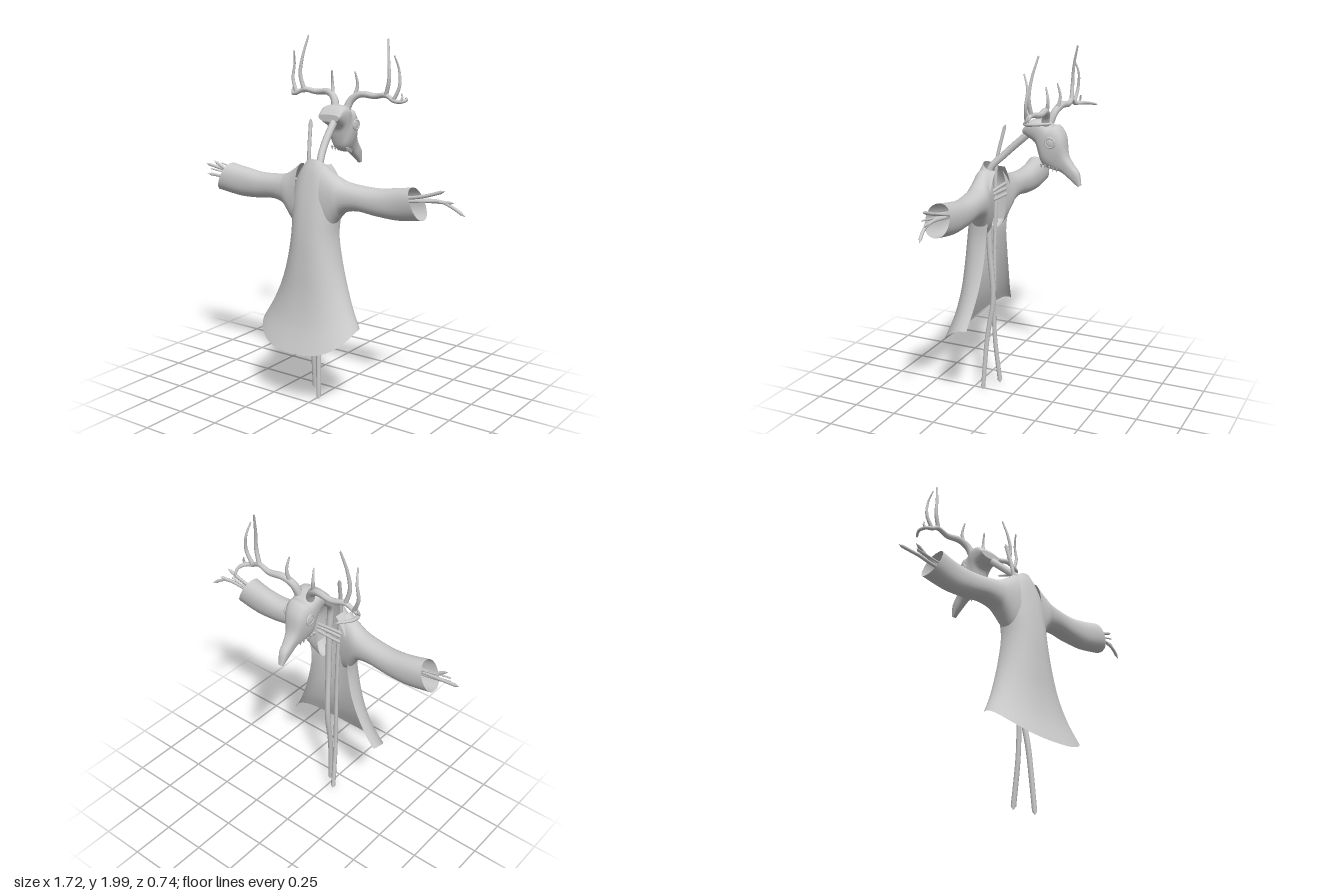
import * as THREE from 'three';

const cloth = new THREE.MeshStandardMaterial({ color: 0xcccccc, side: THREE.DoubleSide });
const solid = new THREE.MeshStandardMaterial({ color: 0xcccccc });
const V = (p) => new THREE.Vector3(...p);

// Smoothly resample rows of numbers (column-wise Catmull-Rom)
function smoothRows(keys, n) {
  const rows = [];
  for (let i = 0; i <= n; i++) {
    const t = (i / n) * (keys.length - 1);
    const k = Math.min(Math.floor(t), keys.length - 2), f = t - k;
    const at = (j) => keys[Math.max(0, Math.min(keys.length - 1, j))];
    rows.push(keys[0].map((_, c) => {
      const [a, b, d, e] = [at(k - 1)[c], at(k)[c], at(k + 1)[c], at(k + 2)[c]];
      return b + 0.5 * f * (d - a + f * (2 * a - 5 * b + 4 * d - e + f * (3 * (b - d) + e - a)));
    }));
  }
  return rows;
}

// Skin a list of equally sized rings
function loft(rings, closed, capped = false) {
  const m = rings[0].length, pos = rings.flat(2), idx = [];
  const steps = closed ? m : m - 1;
  for (let i = 0; i < rings.length - 1; i++) {
    for (let j = 0; j < steps; j++) {
      const a = i * m + j, b = i * m + (j + 1) % m;
      idx.push(a, b, a + m, b, b + m, a + m);
    }
  }
  if (capped) {
    [0, rings.length - 1].forEach((r) => {
      const start = pos.length / 3;
      rings[r].forEach((p) => pos.push(...p));
      for (let j = 1; j < m - 1; j++) {
        if (r === 0) idx.push(start, start + j + 1, start + j);
        else idx.push(start, start + j, start + j + 1);
      }
    });
  }
  const g = new THREE.BufferGeometry();
  g.setAttribute('position', new THREE.Float32BufferAttribute(pos, 3));
  g.setIndex(idx);
  g.computeVertexNormals();
  return g;
}

// Tapered tube through points, closed at both ends
function stick(points, r0, r1, seg = 40) {
  const curve = new THREE.CatmullRomCurve3(points.map(V));
  const g = new THREE.TubeGeometry(curve, seg, 1, 8);
  const p = g.attributes.position, v = new THREE.Vector3();
  for (let i = 0; i < p.count; i++) {
    const s = Math.floor(i / 9), c = curve.getPointAt(s / seg);
    const r = s === 0 || s === seg ? 0 : r0 + (r1 - r0) * s / seg;
    v.fromBufferAttribute(p, i).sub(c).multiplyScalar(r).add(c);
    p.setXYZ(i, v.x, v.y, v.z);
  }
  return g;
}

const spow = (v, e) => Math.sign(v) * Math.abs(v) ** e;

export function createModel() {
  const model = new THREE.Group();
  const add = (name, geo, mat = solid, parent = model) => {
    const mesh = new THREE.Mesh(geo, mat);
    mesh.name = name;
    parent.add(mesh);
    return mesh;
  };

  // Robe body, open on the -z side: [edge y, centre y, half width, edge z, closed side z]
  const robeKeys = [
    [0.48, 0.34, 0.305, 0.19, 0.375], [0.58, 0.48, 0.25, 0.175, 0.325],
    [0.70, 0.63, 0.20, 0.16, 0.295], [0.83, 0.80, 0.16, 0.15, 0.28],
    [0.97, 0.96, 0.135, 0.145, 0.268], [1.10, 1.10, 0.138, 0.13, 0.25],
    [1.22, 1.23, 0.135, 0.12, 0.225], [1.30, 1.32, 0.098, 0.12, 0.203],
    [1.345, 1.378, 0.06, 0.12, 0.18],
  ];
  const robe = smoothRows(robeKeys, 48).map(([ye, yc, w, ze, zb]) => {
    const ring = [];
    for (let j = 0; j <= 40; j++) {
      const a = -0.3 + (j / 40) * (Math.PI + 0.6), s = Math.sin(a);
      const depth = s > 0 ? zb - ze : 0.1;
      ring.push([-0.02 + w * spow(Math.cos(a), 0.8), ye + (yc - ye) * Math.max(s, 0) ** 1.3, ze + depth * spow(s, 0.9)]);
    }
    return ring;
  });
  add('robe', loft(robe, false), cloth);

  // Sleeves: [distance, top, bottom, zMin, zMax, slant]
  const sleeveKeys = [
    [0.08, 1.345, 0.98, 0.09, 0.225, 0], [0.12, 1.315, 1.01, 0.082, 0.222, 0],
    [0.16, 1.29, 1.065, 0.074, 0.218, 0], [0.20, 1.272, 1.105, 0.07, 0.21, 0],
    [0.28, 1.26, 1.122, 0.067, 0.2, 0], [0.39, 1.256, 1.11, 0.065, 0.192, 0],
    [0.51, 1.27, 1.105, 0.065, 0.19, 0.015], [0.635, 1.287, 1.125, 0.067, 0.205, 0.036],
  ];
  for (const side of [-1, 1]) {
    const rings = smoothRows(sleeveKeys, 36).map(([d, top, bot, z0, z1, slant]) =>
      Array.from({ length: 28 }, (_, j) => {
        const a = (j / 28) * Math.PI * 2, s = spow(Math.sin(a), 0.9), c = spow(Math.cos(a), 0.9);
        return [-0.028 + side * (d - slant * s), (top + bot) / 2 + s * (top - bot) / 2, (z0 + z1) / 2 + c * (z1 - z0) / 2];
      }));
    add(side > 0 ? 'leftSleeve' : 'rightSleeve', loft(rings, true), cloth);
  }

  // Two upright poles; one bends into the neck
  add('neckPole', stick([[0.02, 0.015, 0.185], [0.005, 0.35, 0.16], [0, 0.58, 0.125], [0.01, 0.9, 0.14],
    [0.01, 1.2, 0.145], [0, 1.34, 0.14], [-0.03, 1.43, 0.06], [-0.055, 1.56, -0.08]], 0.013, 0.021, 80));
  add('rearPole', stick([[-0.06, 0.04, 0.11], [-0.05, 0.35, 0.14], [-0.05, 0.7, 0.14], [-0.06, 1.1, 0.135],
    [-0.075, 1.36, 0.135], [-0.095, 1.58, 0.09]], 0.014, 0.01, 80));

  // Arm branches running through both sleeves
  const branches = [
    [[-0.86, 1.255, 0.1], [-0.7, 1.235, 0.11], [-0.3, 1.2, 0.12], [0.1, 1.21, 0.105], [0.5, 1.21, 0.11], [0.72, 1.23, 0.11], [0.79, 1.21, 0.11], [0.86, 1.165, 0.095]],
    [[-0.77, 1.285, 0.13], [-0.65, 1.23, 0.12], [-0.2, 1.18, 0.1], [0.2, 1.19, 0.11], [0.6, 1.24, 0.13], [0.76, 1.29, 0.13]],
    [[-0.8, 1.21, 0.155], [-0.6, 1.2, 0.13], [-0.1, 1.24, 0.1], [0.3, 1.2, 0.12], [0.65, 1.225, 0.12], [0.8, 1.23, 0.105]],
  ];
  branches.forEach((b, i) => add('armBranch' + (i + 1), stick(b, 0.009, 0.009, 60)));
  for (const side of [-1, 1]) {
    add('fingerTwig', stick([[side * 0.45, 1.2, 0.13], [side * 0.6, 1.22, 0.14], [side * 0.76 - 0.02, 1.24, 0.15]], 0.009, 0.004));
    add('fingerTwig', stick([[side * 0.45, 1.2, 0.1], [side * 0.6, 1.24, 0.1], [side * 0.72 - 0.02, 1.27, 0.1]], 0.009, 0.004));
  }

  // Skull, snout towards -z: [top z, top y, bottom z, bottom y, half width]
  const head = new THREE.Group();
  head.name = 'head';
  head.position.x = -0.078;
  model.add(head);
  const skullKeys = [
    [-0.05, 1.585, -0.05, 1.545, 0.075], [-0.095, 1.628, -0.065, 1.53, 0.083],
    [-0.155, 1.63, -0.11, 1.5, 0.085], [-0.195, 1.602, -0.125, 1.45, 0.078],
    [-0.235, 1.6, -0.142, 1.395, 0.078], [-0.272, 1.545, -0.17, 1.37, 0.068],
    [-0.288, 1.45, -0.21, 1.358, 0.045], [-0.32, 1.395, -0.25, 1.35, 0.033],
    [-0.354, 1.352, -0.3, 1.315, 0.027], [-0.366, 1.285, -0.35, 1.275, 0.014],
  ];
  const skull = smoothRows(skullKeys, 36).map(([tz, ty, bz, by, w]) =>
    Array.from({ length: 24 }, (_, j) => {
      const a = (j / 24) * Math.PI * 2, s = (1 + spow(Math.sin(a), 0.75)) / 2;
      return [w * spow(Math.cos(a), 0.7) * (0.8 + 0.2 * s), by + (ty - by) * s, bz + (tz - bz) * s];
    }));
  add('skull', loft(skull, true, true), cloth, head);

  for (const side of [-1, 1]) {
    // Eye socket rim and sunken disc
    const rim = add('eyeRim', new THREE.TorusGeometry(0.026, 0.006, 8, 24), solid, head);
    rim.position.set(side * 0.073, 1.517, -0.212);
    rim.rotation.y = side * Math.PI / 2;
    const eye = add('eyeSocket', new THREE.SphereGeometry(0.024, 16, 10), solid, head);
    eye.position.copy(rim.position);
    eye.scale.x = 0.25;

    // Teeth along the jaw
    for (let i = 0; i < 5; i++) {
      const tooth = add('tooth', new THREE.ConeGeometry(0.008, 0.025, 6), solid, head);
      tooth.position.set(side * (0.05 - i * 0.006), 1.383 - i * 0.006, -0.155 - i * 0.02);
      tooth.rotation.x = Math.PI;
    }

    // Antler: main beam curling forward, with upright tines
    const tine = (name, pts, r0, r1) =>
      add(name, stick(pts.map(([x, y, z]) => [side * x, y, z]), r0, r1), solid, head);
    tine('antlerBeam', [[0.03, 1.58, -0.16], [0.06, 1.66, -0.185], [0.11, 1.69, -0.2], [0.2, 1.685, -0.207],
      [0.28, 1.695, -0.195], [0.33, 1.67, -0.19], [0.362, 1.665, -0.2], [0.37, 1.668, -0.25], [0.325, 1.672, -0.33]], 0.024, 0.006);
    tine('browTine', [[0.072, 1.665, -0.19], [0.085, 1.74, -0.205], [0.078, 1.815, -0.19]], 0.013, 0.004);
    tine('tallTine', [[0.275, 1.685, -0.195], [0.3, 1.78, -0.19], [0.29, 1.88, -0.2], [0.268, 2.0, -0.23]], 0.013, 0.005);
    tine('outerTine', [[0.325, 1.665, -0.19], [0.36, 1.75, -0.2], [0.352, 1.84, -0.205], [0.337, 1.915, -0.18]], 0.012, 0.004);
    tine('smallTine', [[0.36, 1.66, -0.2], [0.372, 1.685, -0.21], [0.365, 1.71, -0.215]], 0.009, 0.004);
  }
  return model;
}
